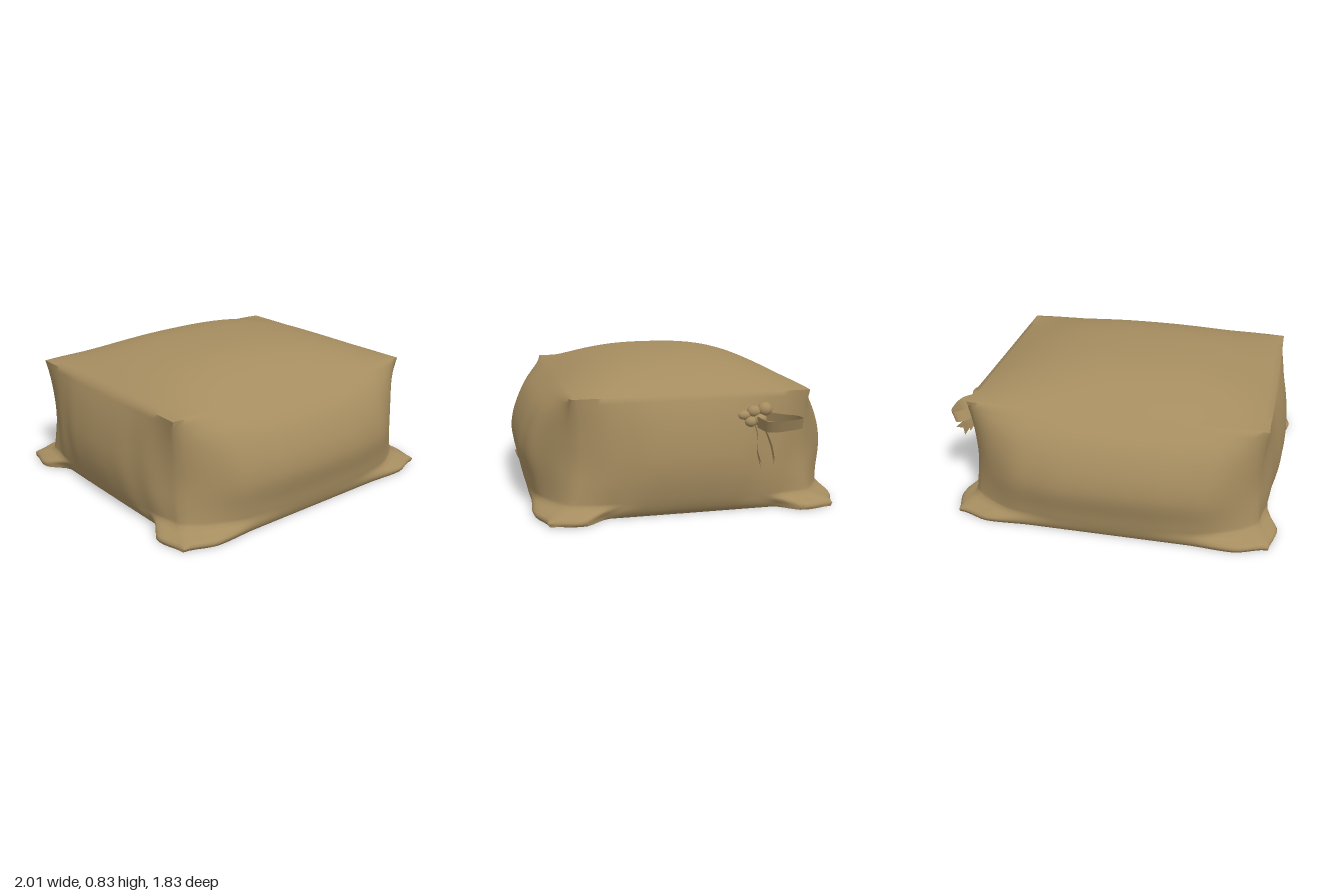
import * as THREE from 'three';
import { mergeVertices, toCreasedNormals } from 'three/addons/utils/BufferGeometryUtils.js';

const CENTER_X = -0.067;
const EDGE_Y = 0.67;

// Smooth lookup through a few height/value pairs
function profile(heights, values) {
  const curve = new THREE.CubicInterpolant(heights, values, 1, [0]);
  return (y) => curve.evaluate(y)[0];
}

// Half widths at the middle of each side and at the pinched corner seams
const heights = [0, 0.03, 0.15, 0.3, 0.45, 0.58, 0.67];
const midX = profile(heights, [0.84, 0.865, 0.91, 0.932, 0.92, 0.89, 0.857]);
const midZ = profile(heights, [0.845, 0.86, 0.887, 0.915, 0.88, 0.80, 0.69]);
const cornerX = profile(heights, [0.835, 0.835, 0.83, 0.82, 0.825, 0.842, 0.858]);
const cornerZ = profile(heights, [0.70, 0.69, 0.66, 0.645, 0.65, 0.655, 0.667]);

const mix = THREE.MathUtils.lerp;
const step = THREE.MathUtils.smoothstep;
const flap = (y) => 1 - step(y, 0.018, 0.08);

function halfX(y, c) {
  const d = Math.abs(c);
  const ear = (0.10 * step(d, 0.58, 0.78) - 0.03 * step(d, 0.8, 1)) * flap(y);
  return mix(midX(y), cornerX(y), d ** 2.3) + ear;
}

function halfZ(y, a) {
  const d = Math.abs(a);
  const body = mix(midZ(y), cornerZ(y), 0.15 * d ** 2 + 0.85 * d ** 4.5);
  const hem = midZ(y) + 0.012 * step(d, 0.5, 0.75) - 0.06 * step(d, 0.78, 1);
  return mix(body, hem, flap(y));
}

// Soft cushion: a gridded box puffed out by the profiles
function cushionGeometry() {
  let geo = new THREE.BoxGeometry(2, 2, 2, 48, 30, 48);
  geo.deleteAttribute('uv');
  geo.deleteAttribute('normal');
  geo = mergeVertices(geo, 1e-4);
  const p = geo.attributes.position;
  for (let i = 0; i < p.count; i++) {
    const a = p.getX(i), c = p.getZ(i);
    const t = THREE.MathUtils.clamp((p.getY(i) + 1) / 2, 0, 1);
    const y = EDGE_Y * t ** 1.5;
    // Shallow gathers in the cloth, fading at the seams
    const fade = Math.sin(Math.PI * t) * 0.009;
    const foldZ = fade * Math.sin(a * 19 + t * 3) * (1 - a * a) * a * a * 2;
    const foldX = fade * Math.sin(c * 17 + t * 3) * (1 - c * c) * c * c * 2;
    const dome = t > 0.9999 ? 0.163 * (1 - Math.abs(a) ** 2.4) * (1 - Math.abs(c) ** 2.6) : 0;
    p.setXYZ(i,
      CENTER_X + a * (halfX(y, c) + foldX),
      y + dome,
      c * (halfZ(y, a) + foldZ));
  }
  return toCreasedNormals(geo, 1.3);
}

// Ribbon swept along a path; width is a vector across it, scaled along its length
function ribbonGeometry(points, width, startScale, notch = 0) {
  const path = new THREE.CatmullRomCurve3(points.map((q) => new THREE.Vector3(...q)));
  const across = new THREE.Vector3(...width);
  const N = 24, M = 4, verts = [], index = [];
  for (let i = 0; i <= N; i++) {
    const s = i / N;
    for (let j = 0; j <= M; j++) {
      const v = (j / M) * 2 - 1;
      const along = s * (1 - notch * (1 - Math.abs(v)));
      const q = path.getPoint(along).addScaledVector(across, v * 0.5 * mix(startScale, 1, s));
      verts.push(q.x, q.y, q.z);
      if (i < N && j < M) {
        const k = i * (M + 1) + j;
        index.push(k, k + 1, k + M + 1, k + 1, k + M + 2, k + M + 1);
      }
    }
  }
  const geo = new THREE.BufferGeometry();
  geo.setAttribute('position', new THREE.Float32BufferAttribute(verts, 3));
  geo.setIndex(index);
  geo.computeVertexNormals();
  return geo;
}

export function createModel() {
  const group = new THREE.Group();
  group.name = 'floorCushion';
  const cloth = new THREE.MeshStandardMaterial({ color: 0xa68d60, side: THREE.DoubleSide });
  cloth.name = 'tan cloth';

  const add = (parent, name, geo) => {
    const mesh = new THREE.Mesh(geo, cloth);
    mesh.name = name;
    parent.add(mesh);
    return mesh;
  };

  add(group, 'cushionBody', cushionGeometry());

  // Ribbon bow tied on the left side
  const bow = new THREE.Group();
  bow.name = 'bow';
  group.add(bow);

  // Gathered knot: position, radius, stretch along z
  const knots = [
    [0.825, 0.58, -0.39, 0.038, 1.1], [0.82, 0.57, -0.33, 0.032, 1.3],
    [0.82, 0.55, -0.275, 0.026, 1.5], [0.83, 0.515, -0.31, 0.03, 1.2], [0.83, 0.525, -0.36, 0.034, 1.2],
  ];
  for (const [x, y, z, r, stretch] of knots) {
    const knot = add(bow, 'bowKnot', new THREE.SphereGeometry(r, 16, 12));
    knot.position.set(x, y, z);
    knot.scale.z = stretch;
  }

  add(bow, 'bowLoop', ribbonGeometry([
    [0.83, 0.54, -0.40], [0.83, 0.52, -0.50], [0.87, 0.515, -0.57],
    [0.915, 0.51, -0.58], [0.935, 0.505, -0.50], [0.925, 0.50, -0.38], [0.85, 0.515, -0.34],
  ], [0.03, 0.068, 0.012], 0.8));

  add(bow, 'bowTailFront', ribbonGeometry([
    [0.83, 0.51, -0.33], [0.86, 0.44, -0.34], [0.90, 0.37, -0.325], [0.955, 0.295, -0.33],
  ], [0.05, 0.04, 0.015], 0.3, 0.12));
  add(bow, 'bowTailBack', ribbonGeometry([
    [0.83, 0.51, -0.37], [0.87, 0.45, -0.39], [0.91, 0.38, -0.405], [0.965, 0.31, -0.40],
  ], [0.06, 0.04, 0.015], 0.3, 0.12));

  return group;
}
